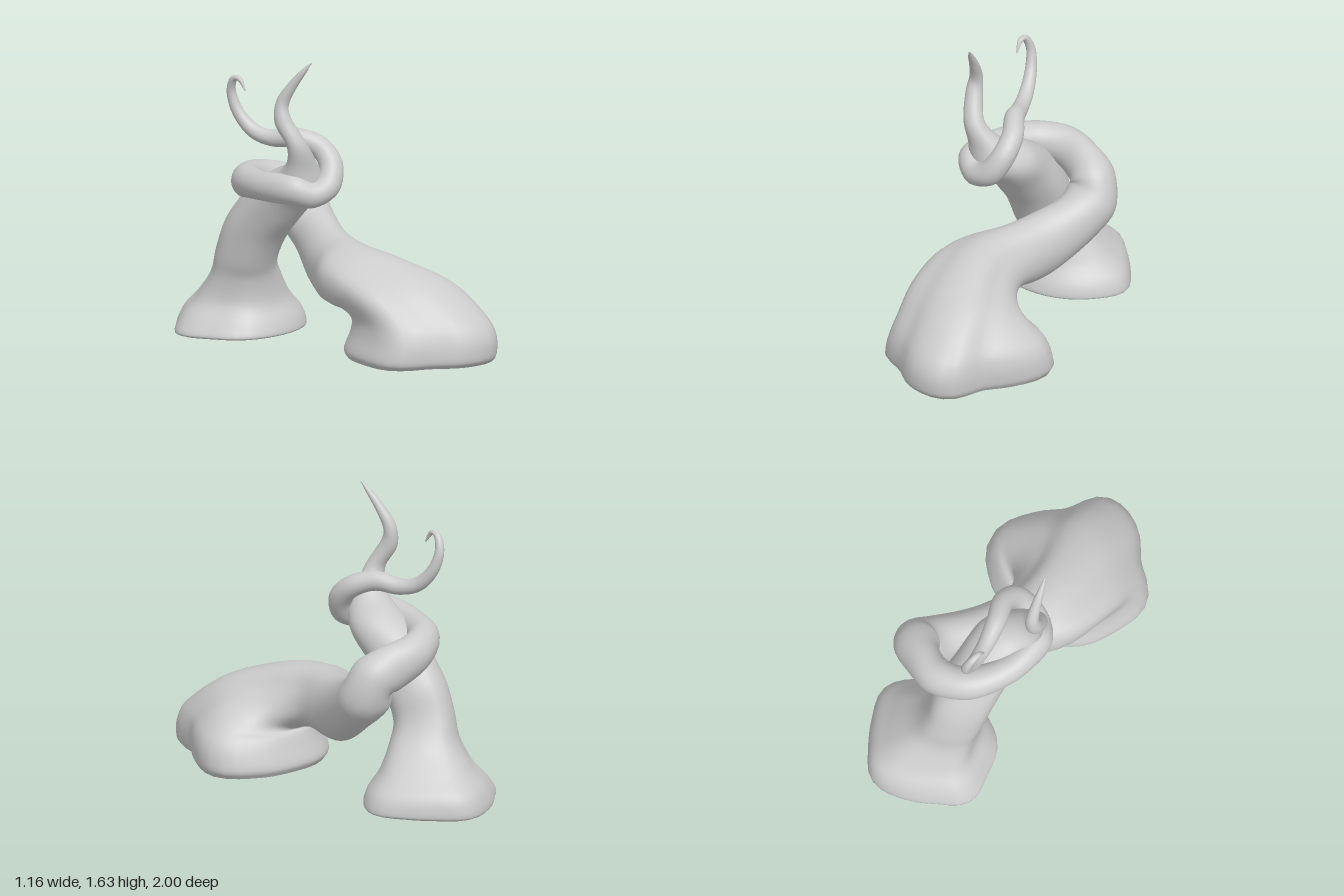
import * as THREE from 'three';

const SIDES = 40, STEPS = 5;
const vec = (x, y, z) => new THREE.Vector3(x, y, z);

// Ring spanning the x range, from the rear/under edge (z, y) to the front/top edge (z, y)
function ring([x0, x1, z0, y0, z1, y1, lump = 0]) {
  return {
    c: vec((x0 + x1) / 2, (y0 + y1) / 2, (z0 + z1) / 2),
    u: vec((x1 - x0) / 2, 0, 0),
    v: vec(0, (y1 - y0) / 2, (z1 - z0) / 2),
    lump,
  };
}

// Continue the rings as a tube through [x, y, z, radius, upright stretch], carrying the frame along
function extend(rings, path) {
  const last = rings[rings.length - 1];
  const u = last.u.clone().normalize(), v = last.v.clone().normalize();
  let t = v.clone().cross(u).normalize();
  const pts = [last.c, ...path.map(p => vec(p[0], p[1], p[2]))];
  path.forEach(([, , , r, tall = 1], i) => {
    const next = pts[Math.min(i + 2, pts.length - 1)];
    const t2 = next.clone().sub(pts[i]).normalize();
    const q = new THREE.Quaternion().setFromUnitVectors(t, t2);
    u.applyQuaternion(q);
    v.applyQuaternion(q);
    t = t2;
    const size = vec(r, r * tall, r);
    rings.push({ c: pts[i + 1], u: u.clone().multiply(size), v: v.clone().multiply(size), lump: 0 });
  });
  return rings;
}

// Smooth skin over the rings; the outline gives the foot's radius every 30 degrees
function loft(rings, outline) {
  const spline = key => new THREE.CatmullRomCurve3(rings.map(r => r[key]), false, 'catmullrom', 0.5);
  const C = spline('c'), U = spline('u'), V = spline('v');
  const shape = new THREE.CatmullRomCurve3(outline.map(r => vec(r, 0, 0)), true, 'catmullrom', 0.5);
  const rows = (rings.length - 1) * STEPS;
  const pos = [], idx = [];
  for (let i = 0; i <= rows; i++) {
    const t = i / rows, k = Math.min(Math.floor(i / STEPS), rings.length - 2);
    const lump = THREE.MathUtils.lerp(rings[k].lump, rings[k + 1].lump, i / STEPS - k);
    const c = C.getPoint(t), u = U.getPoint(t), v = V.getPoint(t);
    for (let j = 0; j < SIDES; j++) {
      const a = (j / SIDES) * Math.PI * 2;
      const r = 1 + lump * (shape.getPoint(j / SIDES).x - 1);
      const p = c.clone().addScaledVector(u, r * Math.cos(a)).addScaledVector(v, r * Math.sin(a));
      pos.push(p.x, p.y, p.z);
    }
  }
  for (let i = 0; i < rows; i++) for (let j = 0; j < SIDES; j++) {
    const n = (j + 1) % SIDES;
    const a = i * SIDES + j, b = a + SIDES, d = i * SIDES + n, e = d + SIDES;
    idx.push(a, b, e, a, e, d);
  }
  // Flat underside and closed tip
  const base = pos.length / 3;
  for (const row of [0, rows]) {
    const c = C.getPoint(row / rows), s = pos.length / 3;
    pos.push(...pos.slice(row * SIDES * 3, (row + 1) * SIDES * 3), c.x, c.y, c.z);
    for (let j = 0; j < SIDES; j++) {
      const n = (j + 1) % SIDES;
      if (s === base) idx.push(s + SIDES, s + j, s + n);
      else idx.push(s + SIDES, s + n, s + j);
    }
  }
  const g = new THREE.BufferGeometry();
  g.setAttribute('position', new THREE.Float32BufferAttribute(pos, 3));
  g.setIndex(idx);
  g.computeVertexNormals();
  return g;
}

export function createModel() {
  const group = new THREE.Group();
  const mat = new THREE.MeshStandardMaterial({ color: 0xcccccc });
  const add = (name, geo) => {
    const m = new THREE.Mesh(geo, mat);
    m.name = name;
    group.add(m);
  };

  // Rear tentacle: spreading foot, trunk leaning forward, upright tip
  const rear = [
    [-0.55, 0.2, -0.97, 0.005, -0.3, 0.025, 1],
    [-0.58, 0.22, -1.0, 0.03, -0.28, 0.04, 1],
    [-0.53, 0.19, -0.97, 0.13, -0.3, 0.1, 1],
    [-0.45, 0.1, -0.87, 0.22, -0.35, 0.2, 0.9],
    [-0.41, 0.0, -0.74, 0.35, -0.35, 0.33, 0.7],
    [-0.41, -0.06, -0.67, 0.5, -0.32, 0.42, 0.6],
    [-0.4, -0.05, -0.59, 0.68, -0.25, 0.56, 0.5],
    [-0.37, -0.04, -0.43, 0.86, -0.15, 0.68, 0.3],
    [-0.34, -0.02, -0.25, 0.98, -0.05, 0.8],
    [-0.33, -0.07, -0.13, 1.03, 0.06, 0.9],
    [-0.32, -0.14, -0.06, 1.09, 0.07, 1.03],
    [-0.34, -0.22, -0.03, 1.17, 0.075, 1.17],
  ].map(ring);
  extend(rear, [
    [-0.33, 1.3, -0.035, 0.047], [-0.325, 1.4, -0.045, 0.036], [-0.295, 1.5, 0.005, 0.026],
    [-0.265, 1.58, 0.06, 0.016], [-0.24, 1.635, 0.1, 0.003],
  ]);
  add('rearTentacle', loft(rear, [1, 0.97, 0.98, 1, 1.03, 0.95, 1, 0.87, 0.9, 1, 0.86, 0.86]));

  // Front tentacle: broad foot, low trunk running back, then coiling round the rear one
  const front = [
    [-0.24, 0.56, 0.15, 0.035, 0.97, 0.05, 1],
    [-0.26, 0.58, 0.13, 0.08, 1.0, 0.09, 1],
    [-0.23, 0.57, 0.16, 0.17, 0.99, 0.2, 1],
    [-0.22, 0.53, 0.19, 0.23, 0.91, 0.31, 0.9],
    [-0.25, 0.44, 0.22, 0.25, 0.7, 0.47, 0.8],
    [-0.27, 0.27, 0.2, 0.26, 0.42, 0.575, 0.7],
    [-0.24, 0.18, 0.1, 0.27, 0.2, 0.61, 0.4],
    [-0.14, 0.18, -0.06, 0.26, 0.02, 0.625, 0.1],
    [-0.08, 0.21, -0.2, 0.3, -0.14, 0.65],
    [-0.01, 0.26, -0.4, 0.42, -0.3, 0.7],
    [-0.01, 0.28, -0.57, 0.55, -0.37, 0.75],
  ].map(ring);
  extend(front, [
    [0.11, 0.745, -0.5, 0.125, 1.1], [0.02, 0.79, -0.53, 0.105, 1.28], [-0.13, 0.845, -0.535, 0.1, 1.12],
    [-0.27, 0.88, -0.43, 0.09, 1.05], [-0.33, 0.9, -0.25, 0.08], [-0.33, 0.915, -0.09, 0.075, 1.1],
    [-0.295, 0.92, 0.02, 0.075, 1.1], [-0.21, 0.89, 0.075, 0.07], [-0.11, 0.93, 0.075, 0.07],
    [-0.055, 1.03, 0.03, 0.065], [-0.07, 1.115, -0.06, 0.06], [-0.15, 1.155, -0.16, 0.055],
    [-0.22, 1.14, -0.28, 0.045], [-0.27, 1.17, -0.38, 0.04], [-0.31, 1.26, -0.46, 0.033],
    [-0.335, 1.37, -0.49, 0.026], [-0.345, 1.45, -0.46, 0.02], [-0.34, 1.46, -0.41, 0.014],
    [-0.33, 1.4, -0.37, 0.004],
  ]);
  add('frontTentacle', loft(front, [0.9, 0.78, 1.02, 0.98, 0.87, 1.04, 0.98, 1, 0.98, 0.95, 1.04, 1.14]));

  return group;
}
